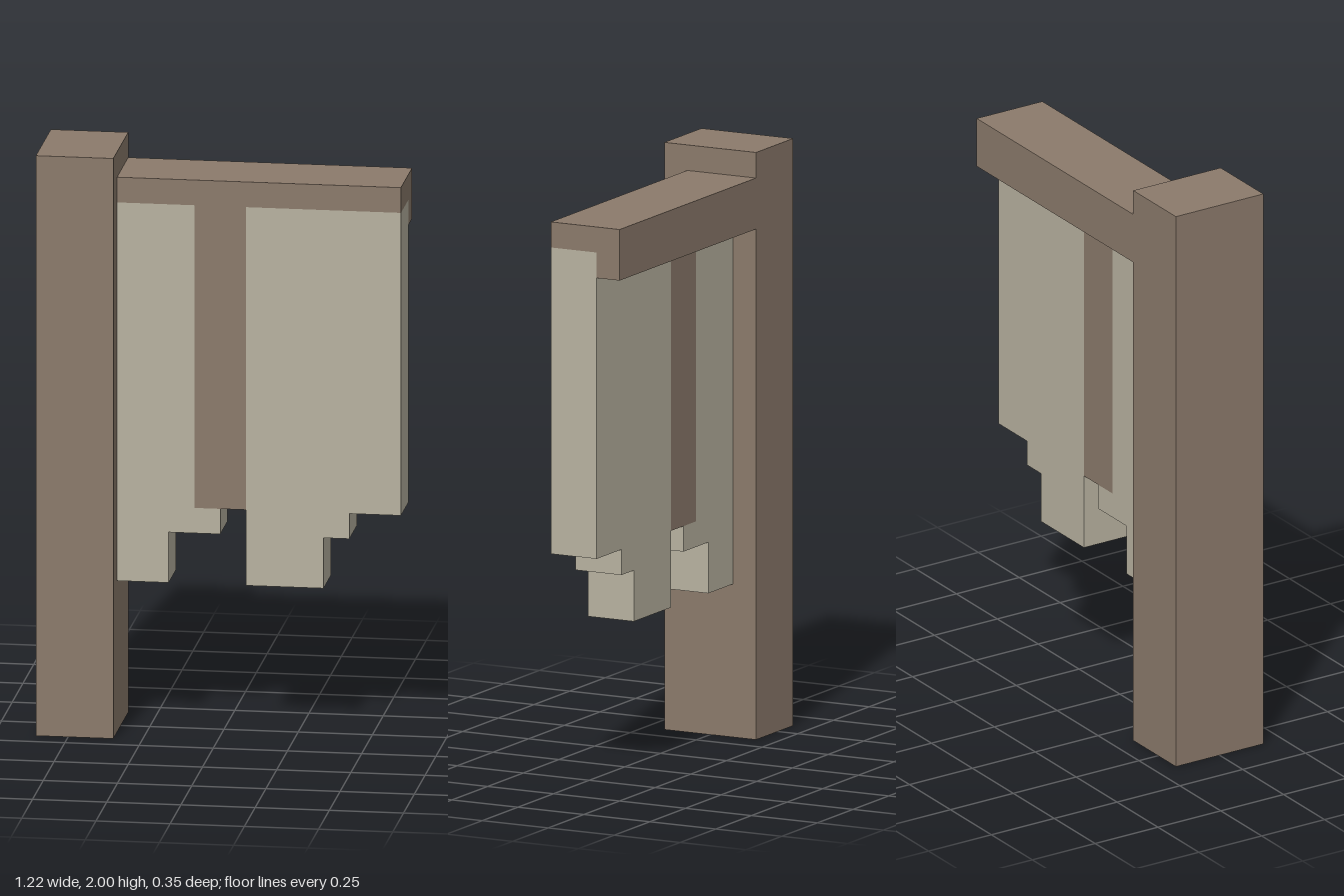
import * as THREE from 'three';

// One grid step: the whole model is 23 steps tall.
const U = 2 / 23;

export function createModel() {
  const wood = new THREE.MeshStandardMaterial({ color: 0x8b7a6b });
  wood.name = 'brown wood';
  const cloth = new THREE.MeshStandardMaterial({ color: 0xb8b2a0 });
  cloth.name = 'pale cloth';

  const model = new THREE.Group();
  model.name = 'bannerPost';

  function add(name, geometry, material) {
    const mesh = new THREE.Mesh(geometry, material);
    mesh.name = name;
    model.add(mesh);
    return mesh;
  }

  // Extrude an outline given in grid steps.
  function extrude(points, depth) {
    const shape = new THREE.Shape(points.map(([x, y]) => new THREE.Vector2(x * U, y * U)));
    return new THREE.ExtrudeGeometry(shape, { depth: depth * U, bevelEnabled: false });
  }

  // Upright post
  add('post', new THREE.BoxGeometry(3 * U, 23 * U, 4 * U), wood).position.set(-5.5 * U, 11.5 * U, 0);

  // Crossbeam with an L-shaped section, lower at the back
  const beam = extrude([[-1, 21], [1, 21], [1, 20], [2, 20], [2, 22], [-1, 22]], 11);
  beam.rotateY(Math.PI / 2);
  add('crossbeam', beam, wood).position.x = -4 * U;

  // Hanging cloth with stepped, tattered lower edges
  const panels = {
    clothNearPost: [[-4, 6], [-2, 6], [-2, 8], [0, 8], [0, 9], [-1, 9], [-1, 21], [-4, 21]],
    clothFarSide: [[1, 6], [4, 6], [4, 8], [5, 8], [5, 9], [7, 9], [7, 21], [1, 21]],
  };
  for (const [name, outline] of Object.entries(panels)) {
    add(name, extrude(outline, 2), cloth).position.z = -U;
  }

  // Brown stripe between the two cloth panels
  add('stripe', new THREE.BoxGeometry(2 * U, 12 * U, 2 * U), wood).position.set(0, 15 * U, 0);

  return model;
}
